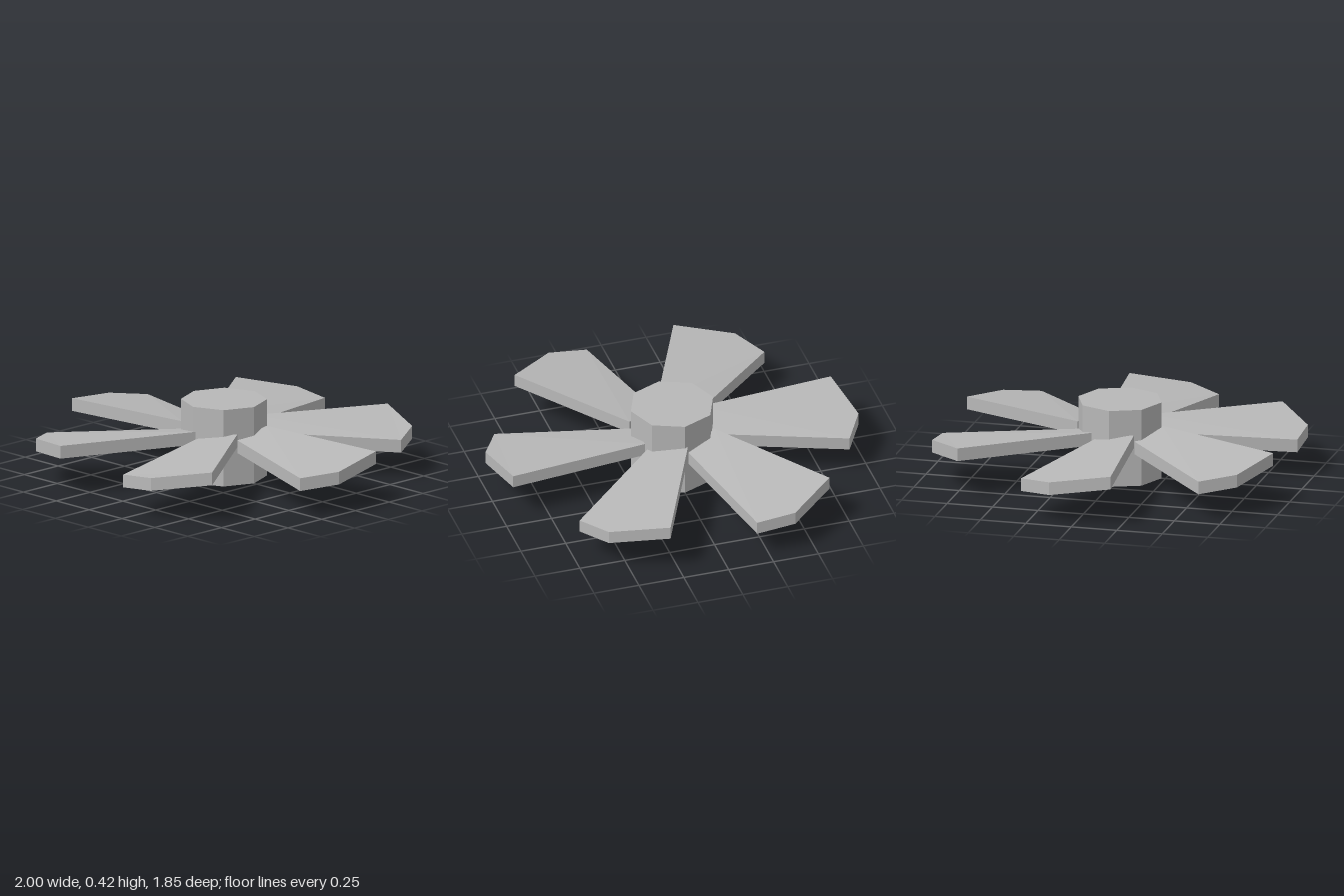
import * as THREE from 'three';

// Blade outline along +x: x, top height, z (raised trailing edge to lowered leading edge)
const OUTLINE = [
  [0.19, 0.285, -0.128],
  [0.948, 0.278, -0.202],
  [1.0, 0.237, 0.122],
  [0.893, 0.215, 0.305],
  [0.19, 0.247, 0.088],
];
const THICKNESS = 0.07;

// Pitched, slightly twisted slab with a pointed tip
function bladeGeometry() {
  const n = OUTLINE.length;
  const top = OUTLINE.map((p) => new THREE.Vector3(...p));
  const bottom = top.map((p) => p.clone().setY(p.y - THICKNESS));
  const points = [];
  const face = (a, b, c) => points.push(a, b, c);

  // Upper and lower faces: root quad plus the two tip triangles
  for (const [a, b, c] of [[0, 4, 3], [0, 3, 1], [1, 3, 2]]) {
    face(top[a], top[b], top[c]);
    face(bottom[a], bottom[c], bottom[b]);
  }
  // Rim
  for (let i = 0; i < n; i++) {
    const j = (i + 1) % n;
    face(top[i], top[j], bottom[j]);
    face(top[i], bottom[j], bottom[i]);
  }
  const geometry = new THREE.BufferGeometry().setFromPoints(points);
  geometry.computeVertexNormals();
  return geometry;
}

export function createModel() {
  const model = new THREE.Group();
  model.name = 'fanRotor';

  const grey = new THREE.MeshStandardMaterial({ color: 0xb8b8b8 });
  grey.name = 'grey';
  grey.flatShading = true;

  // Octagonal hub
  const hub = new THREE.Mesh(new THREE.CylinderGeometry(0.229, 0.229, 0.42, 8), grey);
  hub.name = 'hub';
  hub.position.y = 0.21;
  model.add(hub);

  // Six blades around the hub
  const geometry = bladeGeometry();
  for (let i = 0; i < 6; i++) {
    const blade = new THREE.Mesh(geometry, grey);
    blade.name = `blade${i + 1}`;
    blade.rotation.y = (i * Math.PI) / 3;
    model.add(blade);
  }
  return model;
}
